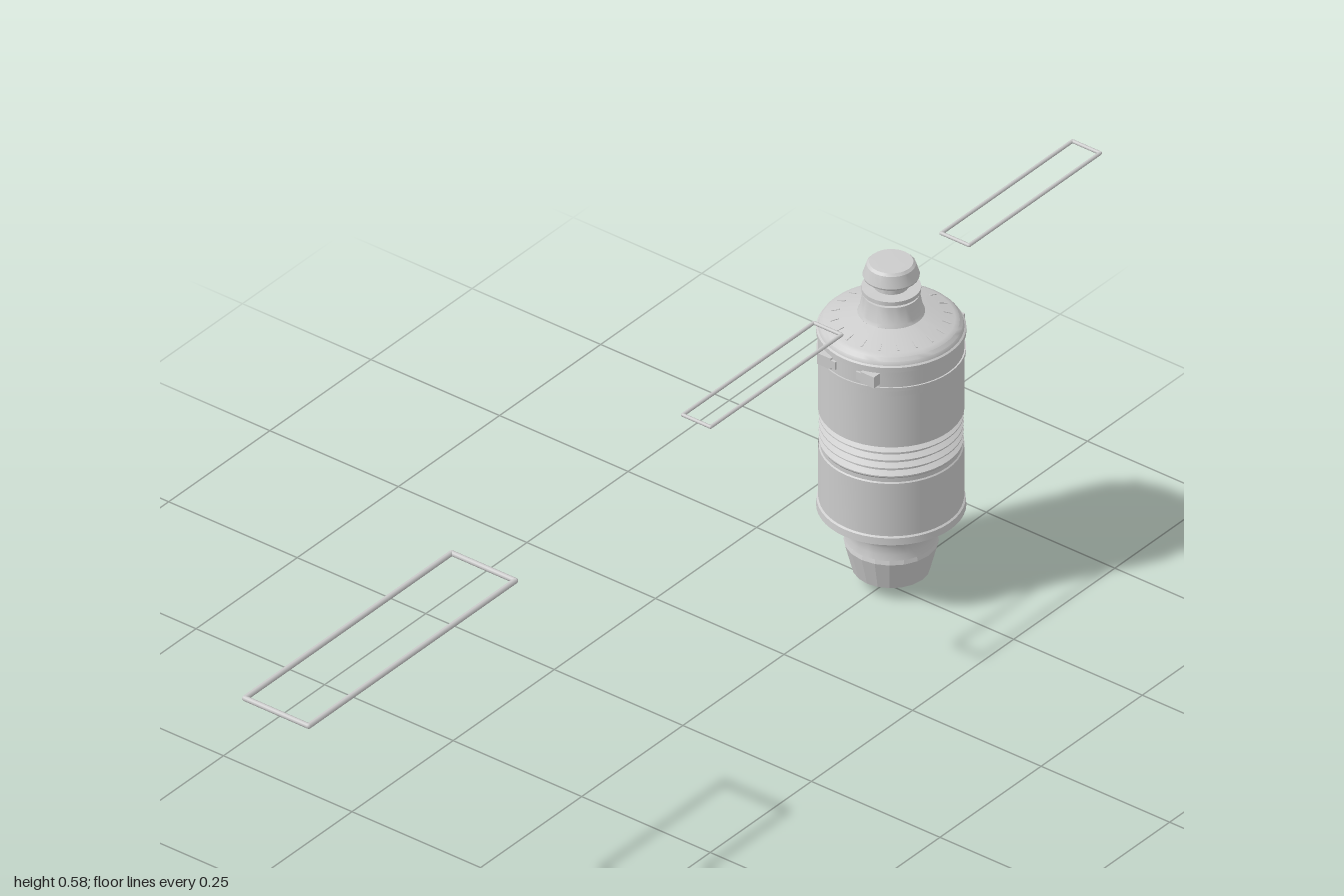
import * as THREE from 'three';
import { toCreasedNormals } from 'three/addons/utils/BufferGeometryUtils.js';

const AXIS_Z = -0.515;
const FRAME_Y = 0.541;
const mat = new THREE.MeshStandardMaterial({ color: 0xcccccc });
const matDouble = new THREE.MeshStandardMaterial({ color: 0xcccccc, side: THREE.DoubleSide });

function add(parent, name, geometry, x = 0, y = 0, z = 0, material = mat) {
  const mesh = new THREE.Mesh(geometry, material);
  mesh.name = name;
  mesh.position.set(x, y, z);
  parent.add(mesh);
  return mesh;
}

// Turned part from [radius, height] pairs, listed bottom to top
function turned(profile, sides, crease = 0.45) {
  const points = profile.map(([r, y]) => new THREE.Vector2(r, y));
  return toCreasedNormals(new THREE.LatheGeometry(points, sides), crease);
}

// Rectangular outline of thin round bars lying flat
function frame(name, x, z, width, length, r) {
  const g = new THREE.Group();
  g.name = name;
  const hw = width / 2 - r, hl = length / 2 - r;
  for (const s of [-1, 1]) {
    add(g, 'longBar', new THREE.CylinderGeometry(r, r, hl * 2, 8), s * hw, 0, 0).rotation.x = Math.PI / 2;
    add(g, 'shortBar', new THREE.CylinderGeometry(r, r, hw * 2, 8), 0, 0, s * hl).rotation.z = Math.PI / 2;
    for (const t of [-1, 1]) add(g, 'corner', new THREE.SphereGeometry(r, 8, 6), s * hw, 0, t * hl);
  }
  g.position.set(x, FRAME_Y, z);
  return g;
}

export function createModel() {
  const model = new THREE.Group();
  model.name = 'capsuleWithFrames';
  const body = new THREE.Group();
  body.name = 'body';
  body.position.z = AXIS_Z;
  model.add(body);

  // Faceted nose at the bottom
  add(body, 'nose', turned([[0, 0], [0.042, 0.011], [0.06, 0.023], [0.073, 0.073], [0.071, 0.08]], 20, 0.1));

  // Waisted neck flaring to the lower rim
  add(body, 'lowerNeck', turned([[0.071, 0.08], [0.069, 0.09], [0.069, 0.102], [0.072, 0.112],
    [0.079, 0.12], [0.092, 0.128], [0.112, 0.137]], 48, 0.6));
  add(body, 'lowerRim', turned([[0.112, 0.136], [0.115, 0.138], [0.114, 0.15], [0.111, 0.152]], 48));

  // Lower drum, bellows and upper drum
  add(body, 'lowerDrum', turned([[0.111, 0.15], [0.111, 0.248], [0.109, 0.25], [0.109, 0.257]], 48));
  const folds = [[0.109, 0.257]];
  for (let i = 0; i < 4; i++) {
    const y = 0.257 + i * 0.0145;
    folds.push([0.111, y + 0.003], [0.111, y + 0.005], [0.102, y + 0.01], [0.102, y + 0.012]);
  }
  folds.push([0.111, 0.315]);
  add(body, 'bellows', turned(folds, 48));
  add(body, 'upperDrum', turned([[0.111, 0.315], [0.111, 0.42], [0.1145, 0.42], [0.1145, 0.426],
    [0.112, 0.426], [0.112, 0.453], [0.115, 0.455], [0.115, 0.463], [0.112, 0.465]], 48));

  // Rounded shoulder and collar
  add(body, 'shoulder', turned([[0.112, 0.465], [0.110, 0.471], [0.105, 0.476], [0.098, 0.479],
    [0.052, 0.493]], 48, 0.6));
  add(body, 'collar', turned([[0.052, 0.493], [0.049, 0.498], [0.044, 0.526], [0.038, 0.526],
    [0.038, 0.531], [0.046, 0.531], [0.046, 0.538], [0.027, 0.539], [0.027, 0.557]], 32));
  add(body, 'cap', turned([[0.027, 0.557], [0.043, 0.557], [0.044, 0.56], [0.038, 0.579],
    [0.034, 0.583], [0, 0.584]], 24));

  // Small radial ribs around the shoulder
  for (let i = 0; i < 20; i++) {
    const pivot = new THREE.Group();
    pivot.name = 'shoulderRib';
    pivot.rotation.y = (i + 0.5) / 20 * Math.PI * 2;
    add(pivot, 'rib', new THREE.BoxGeometry(0.003, 0.002, 0.014), 0, 0.4825, 0.087).rotation.x = 0.3;
    body.add(pivot);
  }

  // Thin curved cover plates in four quadrants on both drums
  for (const [y, h] of [[0.2025, 0.091], [0.363, 0.093]]) {
    for (let q = 0; q < 4; q++) {
      const start = (q % 2 ? 20 : 10) * Math.PI / 180 + q * Math.PI / 2;
      add(body, 'coverPlate', new THREE.CylinderGeometry(0.112, 0.112, h, 16, 1, true, start, Math.PI / 3),
        0, y, 0, matDouble);
    }
  }

  // Latch blocks on front and back, each with a narrow side lug
  for (const s of [-1, 1]) {
    for (const x of [-1, 1]) {
      const latch = new THREE.Group();
      latch.name = 'latch';
      add(latch, 'latchBlock', new THREE.BoxGeometry(0.026, 0.02, 0.016), x * 0.042, 0.441, s * 0.105);
      add(latch, 'latchLug', new THREE.BoxGeometry(0.012, 0.014, 0.012), x * 0.026, 0.441, s * 0.107);
      body.add(latch);
    }
  }

  // Detached flat frames
  model.add(frame('largeFrame', -0.0065, 0.74, 0.133, 0.52, 0.0045));
  model.add(frame('innerFrame', 0, -0.196, 0.06, 0.33, 0.003));
  model.add(frame('outerFrame', 0, -0.835, 0.06, 0.33, 0.003));
  return model;
}
